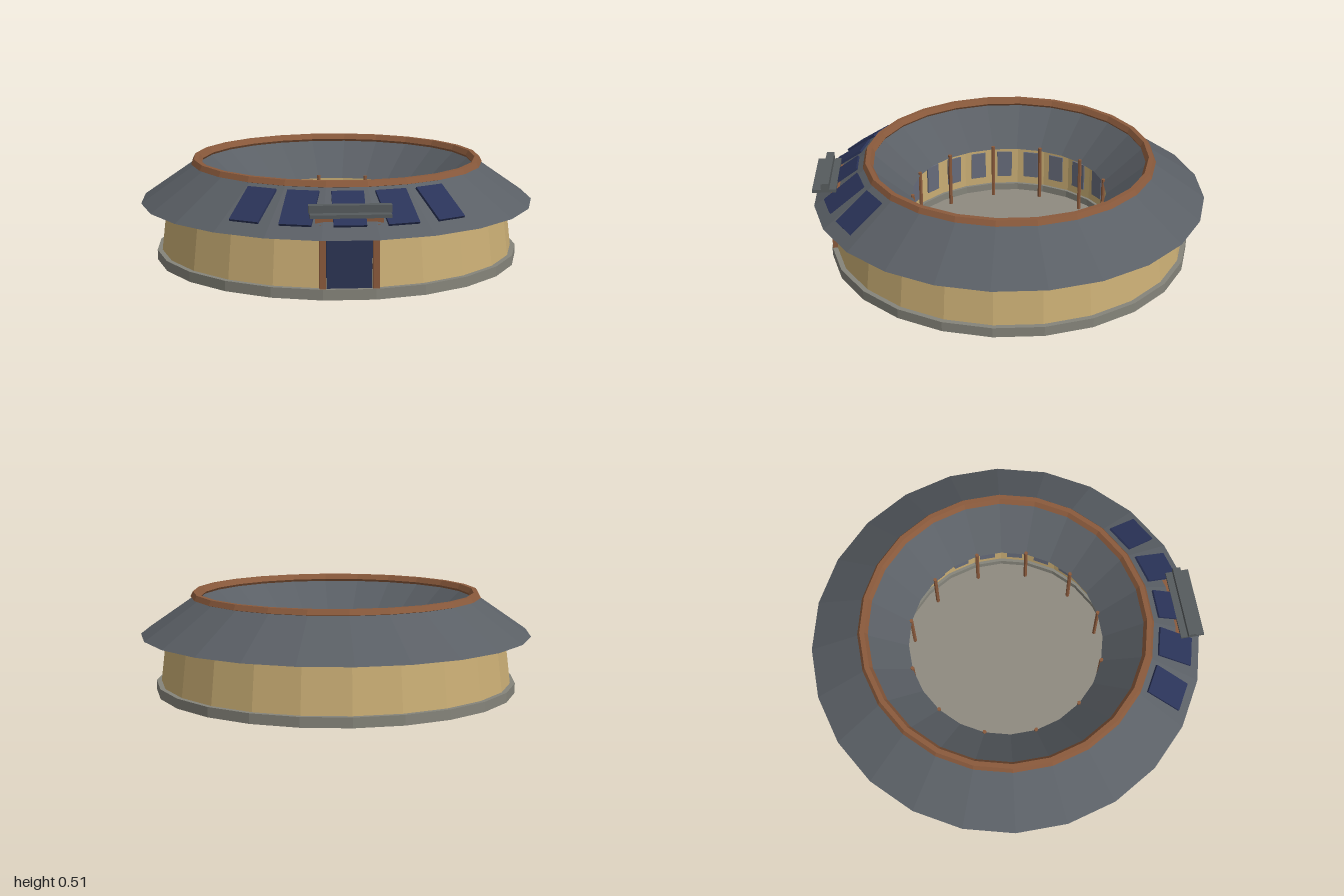
import * as THREE from 'three';

const SIDES = 24;
const STEP = (Math.PI * 2) / SIDES;

const material = (name, color, extra = {}) => {
  const m = new THREE.MeshStandardMaterial({ color, flatShading: true, ...extra });
  m.name = name;
  return m;
};

export function createModel() {
  const house = new THREE.Group();
  house.name = 'ringHouse';

  const stone = material('foundation stone', 0x85847a);
  const paving = material('courtyard paving', 0x8f8a80);
  const clay = material('clay wall', 0xc9ad74);
  const slate = material('slate roof', 0x5a5f65);
  const wood = material('wood', 0x8a5a3c);
  const solar = material('solar navy', 0x2a3358);
  const doorBlue = material('door blue', 0x2c3454);
  const glass = material('window glass', 0x666b7a);
  const metal = material('grey metal', 0x565b5d);

  const add = (name, geometry, mat, parent = house) => {
    const mesh = new THREE.Mesh(geometry, mat);
    mesh.name = name;
    parent.add(mesh);
    return mesh;
  };

  // 24-sided ring from [apothem, y] points, running up the outside and down the inside
  const ring = (name, points, mat) => {
    const profile = points.map(([r, y]) => new THREE.Vector2(r / Math.cos(STEP / 2), y));
    return add(name, new THREE.LatheGeometry(profile, SIDES, STEP / 2), mat);
  };

  const box = (name, size, pos, mat, parent) => {
    const mesh = add(name, new THREE.BoxGeometry(...size), mat, parent);
    mesh.position.set(...pos);
    return mesh;
  };

  // Group turned about the centre; its +z points outward
  const spoke = (name, angle) => {
    const g = new THREE.Group();
    g.name = name;
    g.rotation.y = angle;
    house.add(g);
    return g;
  };

  // Ground and foundation
  ring('courtyardFloor', [[0, 0], [0.924, 0], [0.924, 0.012], [0, 0.012]], paving);
  ring('foundation', [[0.925, 0], [0.925, 0.05], [0.56, 0.05], [0.56, 0.01]], stone);

  // Battered outer wall and straight courtyard wall
  ring('outerWall', [[0.9, 0.05], [0.87, 0.297]], clay);
  ring('courtyardWall', [[0.575, 0.297], [0.575, 0.05]], clay);

  // Double-pitched roof with flat soffit and ridge trim
  ring('roof', [[0.5, 0.295], [1, 0.295], [0.72, 0.49], [0.5, 0.295]], slate);
  ring('ridgeTrim', [[0.7, 0.475], [0.745, 0.487], [0.732, 0.513], [0.708, 0.513], [0.692, 0.487], [0.7, 0.475]], wood);

  // Courtyard windows, one on each facet
  for (let i = 0; i < SIDES; i++) {
    box('courtyardWindow', [0.082, 0.15, 0.008], [0, 0.17, 0.571], glass, spoke('windowBay', i * STEP));
  }

  // Courtyard posts under the inner eave
  for (let i = 0; i < 12; i++) {
    const post = add('courtyardPost', new THREE.CylinderGeometry(0.01, 0.01, 0.3, 6), wood,
      spoke('postBay', STEP / 2 + i * STEP * 2));
    post.position.set(0, 0.162, 0.505);
  }

  // Solar panels on the front slope
  const pitch = Math.atan2(0.195, 0.28);
  for (let i = -2; i <= 2; i++) {
    const panel = box('solarPanel', [0.15, 0.012, 0.215], [0, 0.411, 0.865], solar, spoke('solarBay', i * STEP));
    panel.rotation.x = pitch;
  }

  // Entrance
  box('door', [0.21, 0.25, 0.04], [0, 0.172, 0.887], doorBlue);
  for (const side of [-1, 1]) {
    box('doorPost', [0.03, 0.3, 0.032], [side * 0.122, 0.2, 0.904], wood);
  }
  box('doorLintel', [0.31, 0.035, 0.05], [0, 0.37, 0.882], wood);

  // Flat canopy and upstand beam above the door
  box('canopySlab', [0.365, 0.016, 0.12], [0, 0.403, 0.938], metal);
  box('canopyBeam', [0.375, 0.034, 0.04], [0, 0.428, 0.933], metal);

  return house;
}
